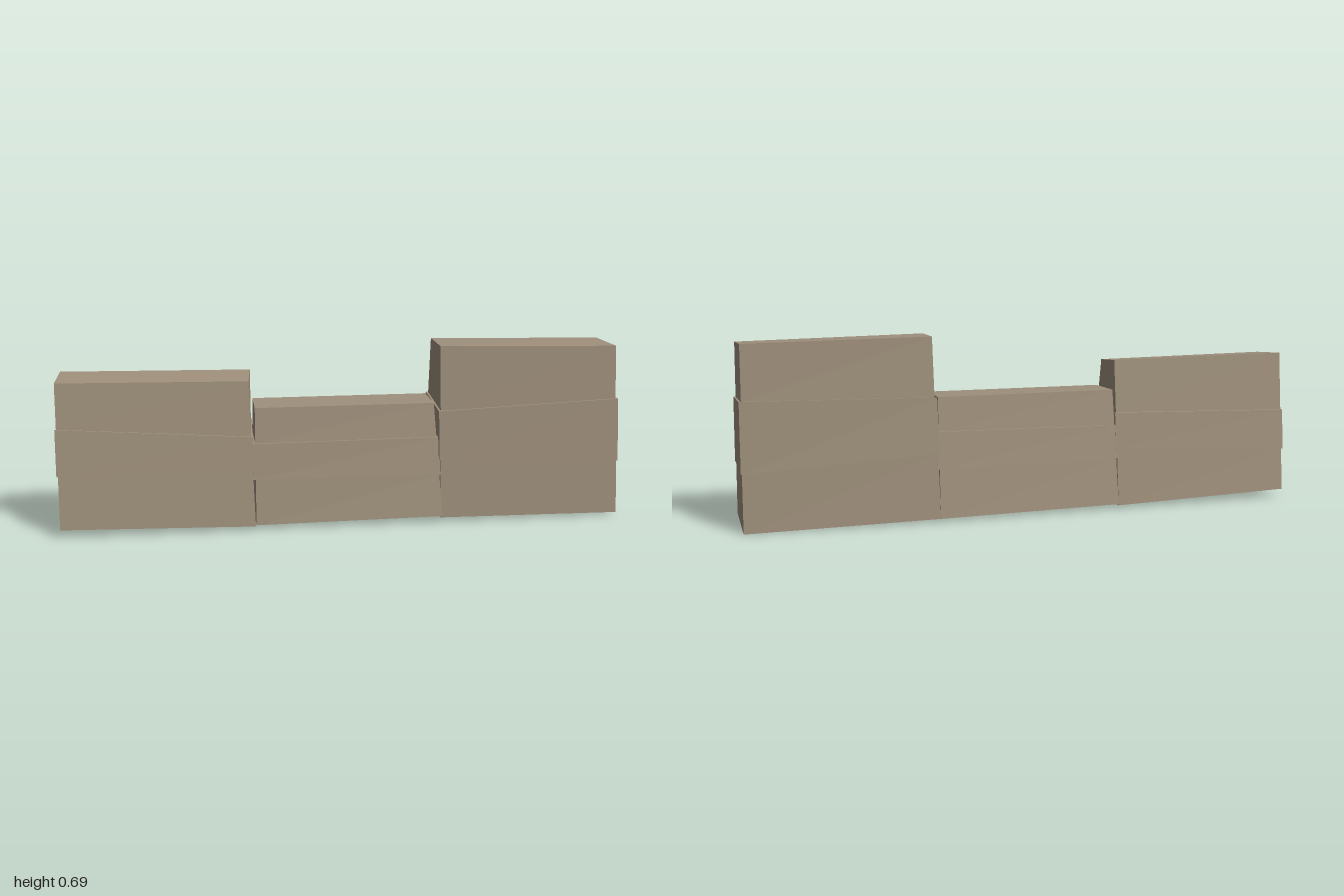
import * as THREE from 'three';

// Corner order everywhere: near back, near front, far back, far front.
// base / top: [x, y, z] corners; cuts: joint heights at each corner;
// spread: how far each course stands proud of the tapered outline.
const COLUMNS = [
  {
    name: 'nearColumn',
    base: [[-0.72, 0.035, 0.81], [-0.44, 0.035, 1.0], [-0.33, 0.015, 0.2], [-0.05, 0.018, 0.38]],
    top: [[-0.66, 0.593, 0.86], [-0.505, 0.58, 0.96], [-0.27, 0.585, 0.24], [-0.125, 0.57, 0.35]],
    cuts: [[0.2, 0.235, 0.235, 0.225], [0.36, 0.41, 0.38, 0.36]],
    spread: [0, 0.005, 0],
  },
  {
    name: 'middleColumn',
    base: [[-0.33, 0.02, 0.2], [-0.06, 0.018, 0.37], [0.05, 0.015, -0.41], [0.34, 0.028, -0.24]],
    top: [[-0.27, 0.468, 0.23], [-0.115, 0.465, 0.33], [0.1, 0.468, -0.37], [0.255, 0.465, -0.265]],
    cuts: [[0.2, 0.195, 0.2, 0.19], [0.33, 0.33, 0.34, 0.335]],
    spread: [0, 0.009, 0],
  },
  {
    name: 'farColumn',
    base: [[0.05, 0.015, -0.41], [0.33, 0.02, -0.24], [0.46, 0.003, -1.0], [0.715, 0.012, -0.85]],
    top: [[0.11, 0.695, -0.38], [0.28, 0.692, -0.265], [0.49, 0.685, -0.97], [0.66, 0.678, -0.875]],
    cuts: [[0.26, 0.25, 0.22, 0.222], [0.47, 0.44, 0.48, 0.47]],
    spread: [0, 0.004, -0.004],
  },
];

// Unit directions along the wall and across it (x, z)
const ALONG = [0.54, -0.842];
const ACROSS = [0.842, 0.54];

// Point on a column's tapered corner edge at height y, pushed outward by s
function edgePoint(col, i, y, s) {
  const a = new THREE.Vector3(...col.base[i]);
  const b = new THREE.Vector3(...col.top[i]);
  const p = a.clone().lerp(b, (y - a.y) / (b.y - a.y));
  const du = i < 2 ? -s : s;
  const dv = i % 2 ? s : -s;
  p.x += ALONG[0] * du + ACROSS[0] * dv;
  p.z += ALONG[1] * du + ACROSS[1] * dv;
  return p;
}

// Box whose eight corners are moved to the given lower and upper corners
function blockGeometry(lower, upper) {
  const geo = new THREE.BoxGeometry(1, 1, 1).toNonIndexed();
  const pos = geo.attributes.position;
  for (let k = 0; k < pos.count; k++) {
    const i = (pos.getX(k) > 0 ? 2 : 0) + (pos.getZ(k) > 0 ? 1 : 0);
    const p = (pos.getY(k) > 0 ? upper : lower)[i];
    pos.setXYZ(k, p.x, p.y, p.z);
  }
  geo.computeVertexNormals();
  return geo;
}

export function createModel() {
  const wall = new THREE.Group();
  wall.name = 'stoneWall';
  const stone = new THREE.MeshStandardMaterial({ color: 0x9f907c });
  stone.name = 'stone';

  for (const col of COLUMNS) {
    const group = new THREE.Group();
    group.name = col.name;
    // Joint heights from the ground to the cap
    const levels = [col.base.map((p) => p[1]), ...col.cuts, col.top.map((p) => p[1])];
    ['lowerBlock', 'middleBlock', 'upperBlock'].forEach((name, n) => {
      const ring = (ys) => ys.map((y, i) => edgePoint(col, i, y, col.spread[n]));
      const block = new THREE.Mesh(blockGeometry(ring(levels[n]), ring(levels[n + 1])), stone);
      block.name = name;
      group.add(block);
    });
    wall.add(group);
  }
  return wall;
}
